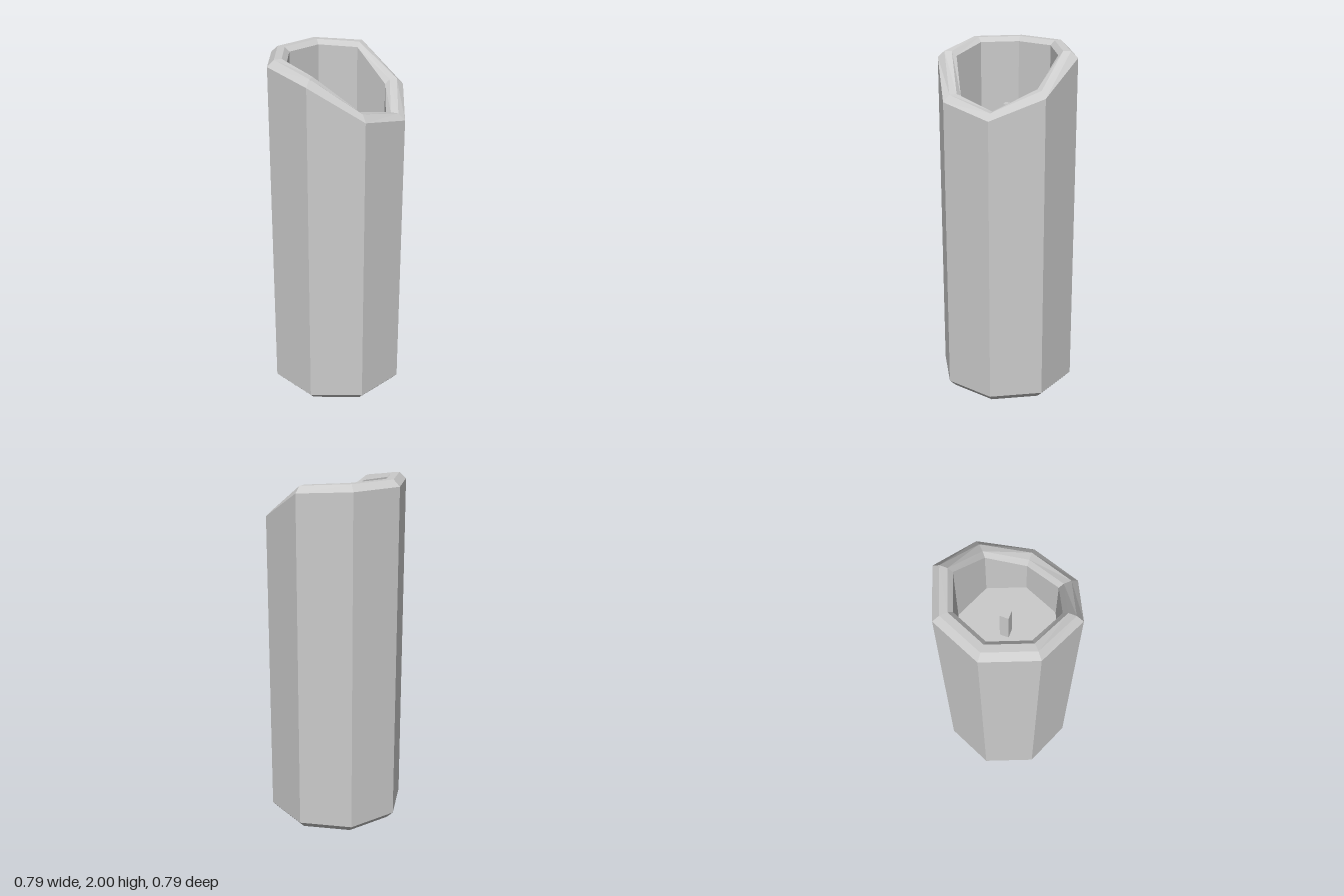
import * as THREE from 'three';

const SIDES = 8;
const FLOOR = 1.42;

// Height of the slanted outer rim at each corner, from +x turning towards +z
const RIM = [1.675, 1.735, 1.92, 1.965, 1.965, 1.965, 1.95, 1.785];

// Skin a list of octagonal rings, each with a radius and a height per corner
function loft(rings) {
  const pos = [];
  const point = ([r, height], k) => {
    const a = (k % SIDES) * Math.PI * 2 / SIDES;
    return new THREE.Vector3(Math.cos(a) * r, height(k % SIDES), Math.sin(a) * r);
  };
  const triangle = (...corners) => corners.forEach(p => pos.push(p.x, p.y, p.z));
  for (let i = 0; i < rings.length - 1; i++) {
    const lower = rings[i], upper = rings[i + 1];
    for (let k = 0; k < SIDES; k++) {
      const a = point(lower, k), b = point(lower, k + 1);
      const c = point(upper, k + 1), d = point(upper, k);
      if (lower[0] > 0) triangle(a, d, b);
      if (upper[0] > 0) triangle(b, d, c);
    }
  }
  const geometry = new THREE.BufferGeometry();
  geometry.setAttribute('position', new THREE.Float32BufferAttribute(pos, 3));
  geometry.computeVertexNormals();
  return geometry;
}

export function createModel() {
  const group = new THREE.Group();
  const material = new THREE.MeshStandardMaterial({ color: 0xcccccc, flatShading: true });
  const level = y => () => y;
  const rim = offset => k => RIM[k] + offset;

  // Hollow body: base, chamfer, wall, bevelled slanted rim, inner wall, floor
  const body = new THREE.Mesh(loft([
    [0, level(0)],
    [0.355, level(0)],
    [0.394, level(0.04)],
    [0.394, rim(0)],
    [0.355, rim(0.035)],
    [0.312, rim(0.035)],
    [0.285, rim(0.01)],
    [0.285, level(FLOOR)],
    [0, level(FLOOR)],
  ]), material);
  body.name = 'candleBody';
  group.add(body);

  // Square wick standing on the floor of the hollow
  const wickTop = 1.68;
  const wick = new THREE.Mesh(new THREE.BoxGeometry(0.05, wickTop - FLOOR, 0.05), material);
  wick.position.set(0, (wickTop + FLOOR) / 2, -0.01);
  wick.name = 'wick';
  group.add(wick);

  return group;
}
